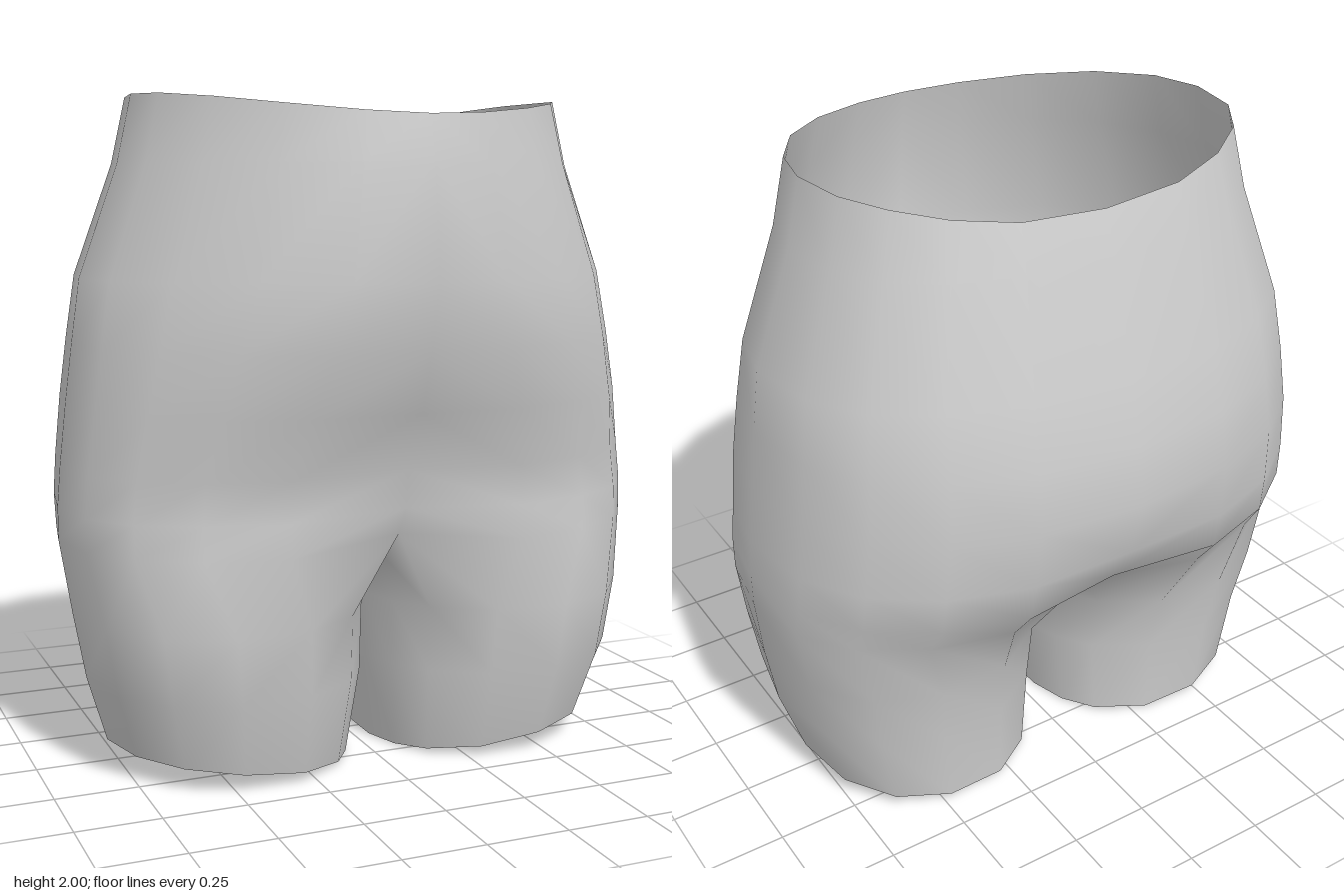
import * as THREE from 'three';
import { mergeGeometries, mergeVertices } from 'three/addons/utils/BufferGeometryUtils.js';

const HALF = 10; // segments from centre front round the side to centre back
// signed power, for rounded-box (superellipse) cross-sections
const sp = (v, e) => Math.sign(v) * Math.pow(Math.abs(v), e);

// Torso sections: height, half width, front z, back z, front and back
// roundness, and how far the centre front and centre back are drawn in
const TORSO = [
  [2.00, 0.67, 0.62, -0.46, 1.13, 0.82, 0, 0],
  [1.80, 0.715, 0.645, -0.505, 1.12, 0.84, 0, 0],
  [1.47, 0.835, 0.68, -0.61, 1.08, 0.86, 0, 0],
  [1.28, 0.862, 0.635, -0.655, 0.96, 0.86, 0, 0],
  [1.10, 0.885, 0.59, -0.68, 0.87, 0.86, 0.01, 0],
  [0.92, 0.905, 0.515, -0.665, 0.79, 0.86, 0.03, 0.03],
  [0.80, 0.915, 0.525, -0.645, 0.78, 0.86, 0.055, 0.09],
  [0.70, 0.915, 0.53, -0.565, 0.78, 0.85, 0.11, 0.16],
];

// Leg sections: height, inner x, outer x, front z, back z
const LEG = [
  [0.48, 0.006, 0.885, 0.505, -0.445],
  [0.28, 0.012, 0.850, 0.487, -0.408],
  [0.00, 0.045, 0.785, 0.425, -0.40],
];

// Underside of the crotch from back to front: y, z
const CROTCH = [[0.635, -0.24], [0.60, -0.10], [0.59, 0.08], [0.65, 0.25]];

function torsoRow([y, w, front, back, eF, eB, inF, inB], top) {
  const row = [];
  for (let i = 0; i <= HALF; i++) {
    const t = (i / HALF) * Math.PI;
    const c = Math.cos(t), e = c > 0 ? eF : eB;
    const x = i % HALF ? w * sp(Math.sin(t), e) : 0;
    let z = (c > 0 ? front : -back) * sp(c, e);
    const centre = Math.max(0, 1 - x / 0.4) ** 2;
    z -= c > 0 ? inF * centre : -inB * centre;
    // the waistline dips at the front and more sharply at the back
    const dip = z > 0 ? 0.07 * (z / front) ** 2 : 0.08 * (z / back) ** 4;
    // drawn-in sections arch up at the front and sag at the back
    const arch = centre * (c > 0 ? 0.25 * inF : -0.2 * inB);
    row.push([x, top ? y - dip : y + arch, z]);
  }
  return row;
}

function legRow([y, xin, xout, front, back], hem) {
  const row = [], cx = (xin + xout) / 2, r = (xout - xin) / 2;
  const cz = (front + back) / 2, d = (front - back) / 2;
  const n = CROTCH.length + 1;
  for (let i = 0; i < HALF + n; i++) {
    // three quarters of the ring continue the torso, one quarter the crotch
    const a = -Math.PI / 4 + (i <= HALF
      ? (i / HALF) * Math.PI * 1.5
      : Math.PI * (1.5 + 0.5 * (i - HALF) / n));
    const x = cx + r * sp(Math.sin(a), 0.93);
    const z = cz + d * sp(Math.cos(a), 0.93);
    // the hem rises towards the outside and the front
    const rise = (x - xin) / (xout - xin) * (0.07 + 0.06 * z);
    row.push([x, hem ? y + rise : y, z]);
  }
  return row;
}

// One half of the garment, mirrored when side is -1
function halfShell(side) {
  const pos = [], index = [];
  const add = row => row.map(([x, y, z]) => pos.push(side * x, y, z) / 3 - 1);
  const stitch = (up, low, closed) => {
    const n = up.length;
    for (let i = 0; i < (closed ? n : n - 1); i++) {
      const j = (i + 1) % n;
      const [a, b, c, d] = [up[i], up[j], low[i], low[j]];
      if (side > 0) index.push(a, c, d, a, d, b);
      else index.push(a, d, c, a, b, d);
    }
  };
  const torso = TORSO.map((s, k) => add(torsoRow(s, k === 0)));
  for (let k = 1; k < torso.length; k++) stitch(torso[k - 1], torso[k], false);

  // the last torso row plus the crotch line closes into the top of the leg
  let upper = [...torso.at(-1), ...add(CROTCH.map(([y, z]) => [0, y, z]))];
  LEG.forEach((s, k) => {
    const lower = add(legRow(s, k === LEG.length - 1));
    stitch(upper, lower, true);
    upper = lower;
  });

  const g = new THREE.BufferGeometry();
  g.setAttribute('position', new THREE.Float32BufferAttribute(pos, 3));
  g.setIndex(index);
  return g;
}

export function createModel() {
  const group = new THREE.Group();
  group.name = 'shorts';

  // both halves welded along the centre line for smooth shading
  const geometry = mergeVertices(mergeGeometries([halfShell(1), halfShell(-1)]), 1e-4);
  geometry.computeVertexNormals();
  const fabric = new THREE.MeshStandardMaterial({ color: 0xcccccc, side: THREE.DoubleSide });
  const shell = new THREE.Mesh(geometry, fabric);
  shell.name = 'shortsFabric';
  group.add(shell);
  return group;
}
